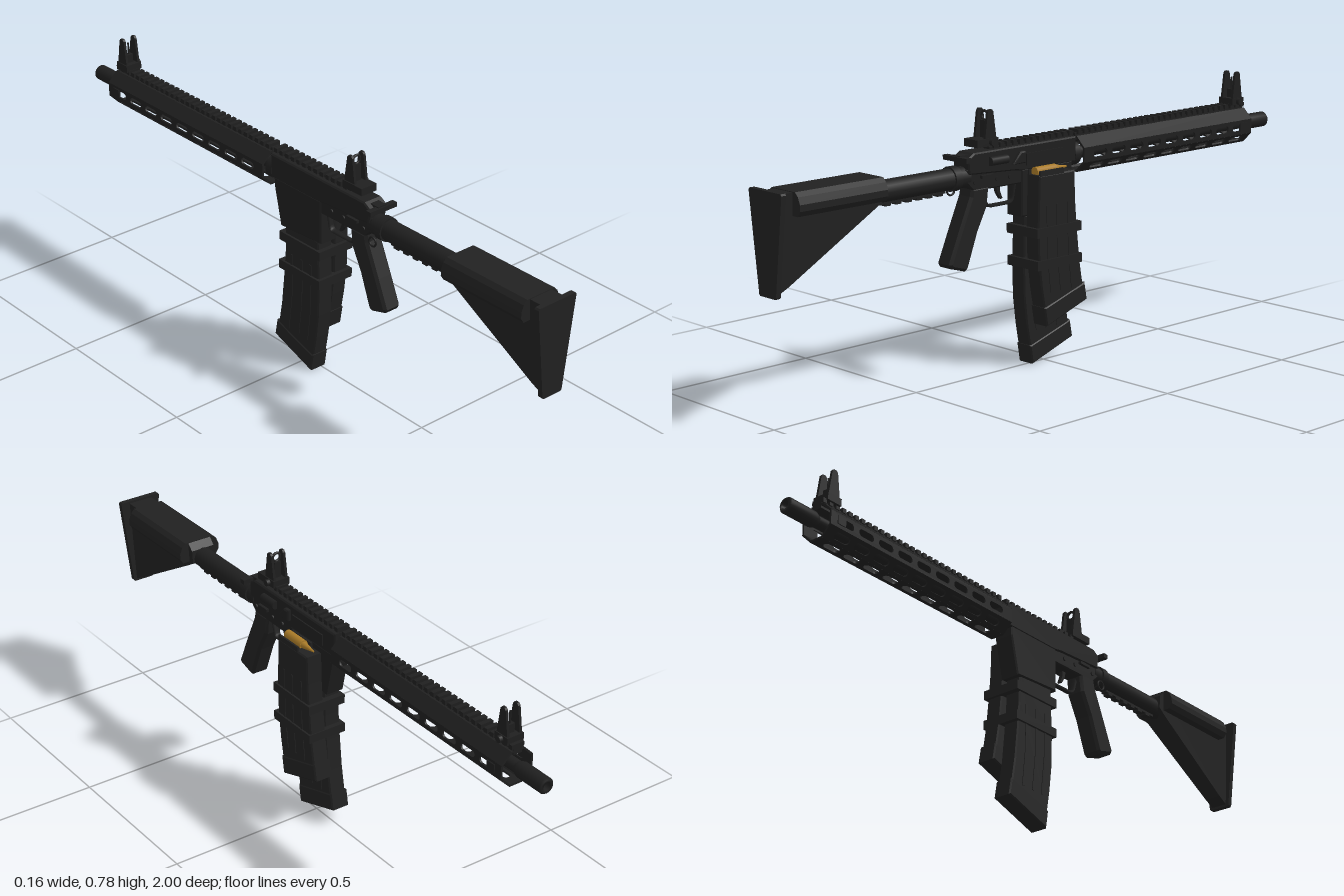
import * as THREE from 'three';

const metal = new THREE.MeshStandardMaterial({ color: 0x1f1f1f });
metal.name = 'black metal';
const polymer = new THREE.MeshStandardMaterial({ color: 0x212121 });
polymer.name = 'dark polymer';
const brass = new THREE.MeshStandardMaterial({ color: 0xa87a28 });
brass.name = 'brass';

function add(parent, name, geo, mat) {
  const m = new THREE.Mesh(geo, mat);
  m.name = name;
  parent.add(m);
}

// Box given by its extents along x, y and z
function box(x0, x1, y0, y1, z0, z1) {
  return new THREE.BoxGeometry(x1 - x0, y1 - y0, z1 - z0)
    .translate((x0 + x1) / 2, (y0 + y1) / 2, (z0 + z1) / 2);
}

// Side profile of [z, y] points, extruded to width w across x
function side(points, w, cx = 0, bevel = 0.004) {
  const shape = new THREE.Shape(points.map(p => new THREE.Vector2(...p)));
  return new THREE.ExtrudeGeometry(shape, {
    depth: w - 2 * bevel, bevelEnabled: bevel > 0, bevelSize: bevel,
    bevelThickness: bevel, bevelOffset: -bevel, bevelSegments: 1,
  }).rotateY(-Math.PI / 2).translate(cx + w / 2 - bevel, 0, 0);
}

// Outline of [x, y] points, extruded from z by depth
function slab(points, z, depth) {
  const shape = new THREE.Shape(points.map(p => new THREE.Vector2(...p)));
  return new THREE.ExtrudeGeometry(shape, { depth, bevelEnabled: false }).translate(0, 0, z);
}

// Round rod along z; r0 at z0, r1 at z1 (z1 > z0)
function rod(r0, r1, z0, z1, y, x = 0, n = 20) {
  return new THREE.CylinderGeometry(r1, r0, z1 - z0, n).rotateX(Math.PI / 2)
    .translate(x, y, (z0 + z1) / 2);
}

// Curved magazine with base plate and side ribs
function magazine(name, x, dy) {
  const g = new THREE.Group();
  g.name = name;
  const up = pts => pts.map(([z, y]) => [z, y + dy]);
  add(g, 'magazineBody', side(up([[0.088, 0.45], [0.093, 0.3], [0.09, 0.2], [0.08, 0.12], [0.066, 0.045],
    [-0.092, 0.095], [-0.077, 0.18], [-0.066, 0.28], [-0.059, 0.36], [-0.056, 0.45]]), 0.054, x), polymer);
  add(g, 'magazineBase', side(up([[0.07, 0.057], [0.06, 0], [-0.106, 0.055], [-0.096, 0.108]]), 0.06, x), polymer);
  for (const z of [0.055, 0.015, -0.03]) {
    add(g, 'magazineRib', side(up([[z + 0.006, 0.36], [z + 0.004, 0.22], [z - 0.01, 0.1],
      [z - 0.018, 0.1], [z - 0.004, 0.22], [z - 0.002, 0.36]]), 0.058, x, 0), polymer);
  }
  // Feed lips and the top round
  for (const s of [-1, 1]) {
    const lip = x + s * 0.023;
    add(g, 'feedLip', box(lip - 0.003, lip + 0.003, 0.44 + dy, 0.463 + dy, -0.01, 0.085), polymer);
  }
  add(g, 'cartridgeCase', rod(0.014, 0.014, 0, 0.08, 0.458 + dy, x - 0.003, 14), brass);
  add(g, 'cartridgeTip', rod(0.002, 0.011, -0.05, 0, 0.458 + dy, x - 0.003, 14), brass);
  return g;
}

// Flip-up sight with two tapered wings and either a ring or a post
function sight(z, ring) {
  const g = new THREE.Group();
  g.name = ring ? 'rearSight' : 'frontSight';
  add(g, 'sightBase', box(-0.028, 0.028, 0.672, 0.694, z - 0.026, z + (ring ? 0.055 : 0.026)), metal);
  add(g, 'sightKnob', new THREE.CylinderGeometry(0.01, 0.01, 0.012, 14).rotateZ(Math.PI / 2)
    .translate(0.033, 0.683, z), metal);
  for (const s of [-1, 1]) {
    add(g, 'sightWing', side([[z - 0.022, 0.69], [z - 0.01, 0.77], [z - 0.005, 0.776], [z + 0.006, 0.776],
      [z + 0.011, 0.77], [z + 0.022, 0.69]], 0.008, s * 0.021, 0), metal);
  }
  add(g, 'sightStem', box(-0.011, 0.011, 0.69, ring ? 0.744 : 0.72, z - 0.008, z + 0.008), metal);
  if (ring) {
    add(g, 'sightRing', new THREE.TorusGeometry(0.013, 0.004, 8, 24).translate(0, 0.757, z), metal);
  } else {
    add(g, 'sightPost', new THREE.CylinderGeometry(0.003, 0.003, 0.04, 8).translate(0, 0.738, z), metal);
  }
  return g;
}

// Toothed top rail
function rail(name, z0, z1) {
  const g = new THREE.Group();
  g.name = name;
  add(g, 'railBase', box(-0.014, 0.014, 0.645, 0.667, z0, z1), metal);
  for (let z = z0; z + 0.014 <= z1 + 0.001; z += 0.0252) {
    add(g, 'railTooth', box(-0.021, 0.021, 0.662, 0.676, z, z + 0.014), metal);
  }
  return g;
}

// One wall of the octagonal handguard, facing +y before it is turned
function handguardPanel(slotted, angle) {
  const w = 0.0225, z0 = -0.88, z1 = -0.127;
  const s = new THREE.Shape();
  s.moveTo(z0, -w).lineTo(z1, -w).lineTo(z1, w).lineTo(z0, w).closePath();
  for (let i = 0; slotted && i < 9; i++) {
    const a = -0.225 - i * 0.078, b = a + 0.058, r = 0.011;
    const h = new THREE.Path();
    h.moveTo(a + r, -r).lineTo(b - r, -r).absarc(b - r, 0, r, -Math.PI / 2, Math.PI / 2, false)
      .lineTo(a + r, r).absarc(a + r, 0, r, Math.PI / 2, Math.PI * 1.5, false);
    s.holes.push(h);
  }
  return new THREE.ExtrudeGeometry(s, { depth: 0.006, bevelEnabled: false, curveSegments: 5 })
    .rotateY(-Math.PI / 2).rotateZ(-Math.PI / 2).translate(0, 0.048, 0).rotateZ(angle).translate(0, 0.604, 0);
}

export function createModel() {
  const model = new THREE.Group();
  model.name = 'rifle';
  const gun = new THREE.Group();
  gun.name = 'rifleBody';
  gun.position.x = -0.012;
  model.add(gun);

  // Shoulder stock: butt plate tapering downwards, wedge and cheek tubes
  add(gun, 'buttPlate', slab([[-0.036, 0.364], [-0.032, 0.36], [0.032, 0.36], [0.036, 0.364],
    [0.07, 0.642], [0.066, 0.647], [-0.066, 0.647], [-0.07, 0.642]], 0.984, 0.016), polymer);
  const wedge = side([[0.985, 0.64], [0.985, 0.368], [0.95, 0.385], [0.64, 0.565], [0.62, 0.58],
    [0.62, 0.62], [0.64, 0.64]], 0.08, 0, 0);
  const wp = wedge.attributes.position;
  for (let i = 0; i < wp.count; i++) {
    wp.setX(i, wp.getX(i) * THREE.MathUtils.mapLinear(wp.getY(i), 0.368, 0.64, 0.65, 1));
  }
  wedge.computeVertexNormals();
  add(gun, 'stockWedge', wedge, polymer);
  add(gun, 'cheekRest', slab([[-0.06, 0.577], [0.06, 0.577], [0.07, 0.592], [0.07, 0.61], [0.062, 0.63],
    [0.05, 0.642], [-0.05, 0.642], [-0.062, 0.63], [-0.07, 0.61], [-0.07, 0.592]], 0.64, 0.3), polymer);

  // Stock tube with rings and notched underside
  add(gun, 'stockTube', rod(0.031, 0.031, 0.3, 0.66, 0.591), metal);
  add(gun, 'tubeNut', rod(0.036, 0.036, 0.335, 0.36, 0.591), metal);
  add(gun, 'tubeKey', box(-0.01, 0.01, 0.555, 0.57, 0.38, 0.62), metal);
  for (let i = 0; i < 6; i++) {
    add(gun, 'tubeNotch', box(-0.01, 0.01, 0.549, 0.56, 0.39 + i * 0.038, 0.41 + i * 0.038), metal);
  }
  add(gun, 'slingLoop', new THREE.TorusGeometry(0.014, 0.003, 8, 18).rotateY(Math.PI / 2)
    .translate(-0.03, 0.55, 0.325), metal);

  // Receiver
  add(gun, 'upperReceiver', side([[0.31, 0.6], [0.314, 0.645], [0.29, 0.66], [-0.115, 0.66],
    [-0.115, 0.585], [0.1, 0.585], [0.13, 0.59]], 0.066), metal);
  add(gun, 'lowerReceiver', side([[0.315, 0.615], [0.315, 0.575], [0.29, 0.55], [0.1, 0.548],
    [-0.09, 0.55], [-0.1, 0.6]], 0.056), metal);
  add(gun, 'magazineWell', side([[0.106, 0.59], [0.106, 0.45], [-0.072, 0.44], [-0.1, 0.56], [-0.1, 0.59]], 0.064), metal);
  add(gun, 'barrelNut', rod(0.036, 0.036, -0.135, -0.11, 0.605), metal);
  gun.add(rail('receiverRail', -0.113, 0.215));
  add(gun, 'chargingHandle', box(-0.05, 0.05, 0.638, 0.652, 0.318, 0.336), metal);
  add(gun, 'chargingShaft', box(-0.015, 0.015, 0.638, 0.655, 0.28, 0.33), metal);
  add(gun, 'ejectionCover', box(0.031, 0.037, 0.6, 0.635, -0.06, 0.09), metal);
  add(gun, 'caseDeflector', side([[0.15, 0.61], [0.1, 0.61], [0.1, 0.645], [0.12, 0.645]], 0.02, 0.036), metal);
  add(gun, 'forwardAssist', rod(0.013, 0.013, 0.17, 0.235, 0.63, 0.037, 14), metal);
  for (const s of [-1, 1]) {
    add(gun, 'selector', box(s * 0.032 - 0.005, s * 0.032 + 0.005, 0.584, 0.593, 0.22, 0.265), metal);
    for (const z of [0.15, 0.2, 0.285]) {
      add(gun, 'pin', new THREE.CylinderGeometry(0.007, 0.007, 0.006, 12).rotateZ(Math.PI / 2)
        .translate(s * 0.029, 0.575, z), metal);
    }
  }

  // Trigger, guard and pistol grip
  const guard = new THREE.CatmullRomCurve3([[0.235, 0.55], [0.22, 0.502], [0.205, 0.493], [0.13, 0.493],
    [0.118, 0.503], [0.108, 0.55]].map(([z, y]) => new THREE.Vector3(0, y, z)), false, 'catmullrom', 0.2);
  add(gun, 'triggerGuard', new THREE.TubeGeometry(guard, 30, 0.005, 6).scale(2.2, 1, 1), metal);
  add(gun, 'trigger', side([[0.185, 0.555], [0.17, 0.555], [0.167, 0.53], [0.158, 0.51],
    [0.165, 0.508], [0.178, 0.528]], 0.012, 0, 0), metal);
  add(gun, 'pistolGrip', side([[0.295, 0.56], [0.3, 0.535], [0.345, 0.435], [0.382, 0.35], [0.375, 0.338],
    [0.32, 0.322], [0.31, 0.33], [0.272, 0.43], [0.235, 0.5], [0.228, 0.56]], 0.06, 0, 0.008), polymer);

  // Handguard, barrel and sights
  for (let i = 0; i < 8; i++) {
    add(gun, 'handguardPanel', handguardPanel(i > 1 && i < 7, i * Math.PI / 4), metal);
  }
  for (const s of [-1, 1]) {
    add(gun, 'handguardLug', box(s * 0.054 - 0.003, s * 0.054 + 0.003, 0.592, 0.618, -0.855, -0.825), metal);
  }
  gun.add(rail('handguardRail', -0.88, -0.128));
  add(gun, 'barrel', rod(0.018, 0.018, -0.9, -0.1, 0.606), metal);
  const muzzle = [[0.018, 0.885], [0.024, 0.9], [0.024, 0.995], [0.02, 1], [0.012, 1], [0.012, 0.94]]
    .map(p => new THREE.Vector2(...p));
  add(gun, 'muzzleDevice', new THREE.LatheGeometry(muzzle, 20).rotateX(-Math.PI / 2).translate(0, 0.606, 0), metal);
  add(gun, 'muzzleCore', rod(0.0125, 0.0125, -0.95, -0.9, 0.606), metal);
  gun.add(sight(0.22, true), sight(-0.843, false));

  // Coupled magazines held by two clamps
  model.add(magazine('mainMagazine', -0.012, 0), magazine('spareMagazine', 0.049, 0.125));
  for (const [y, z] of [[0.408, 0.002], [0.312, 0]]) {
    add(model, 'magazineClamp', box(-0.046, 0.082, y - 0.014, y + 0.014, z - 0.078, z + 0.102), polymer);
  }
  return model;
}
